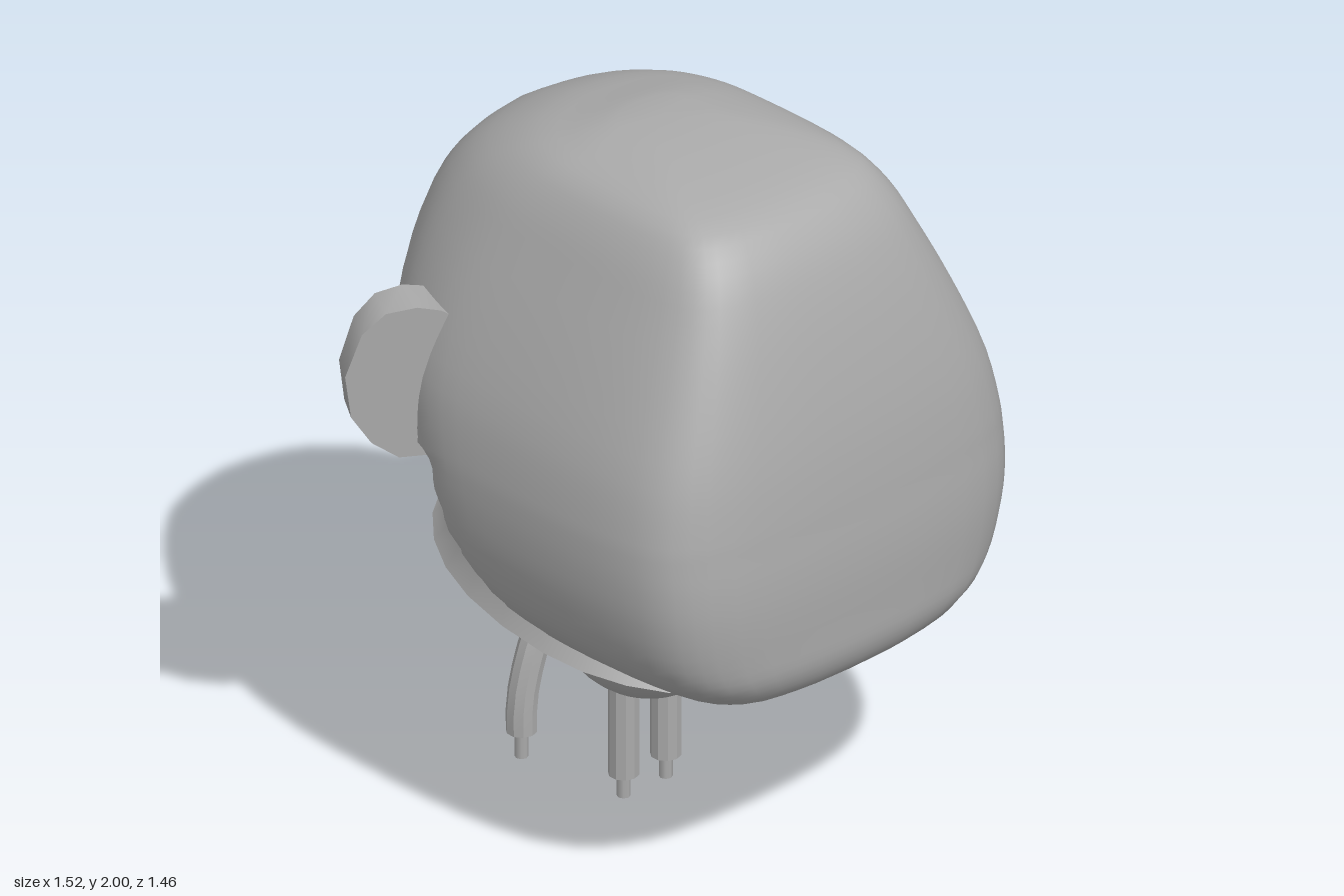
import * as THREE from 'three';
import { toCreasedNormals } from 'three/addons/utils/BufferGeometryUtils.js';

const V = (x, y, z) => new THREE.Vector3(x, y, z);

// Skin closed rings of points into a capped solid
function loft(rings, crease) {
  const n = rings[0].length, pos = [], idx = [];
  rings.forEach(r => r.forEach(p => pos.push(p.x, p.y, p.z)));
  for (let i = 0; i < rings.length - 1; i++) {
    for (let j = 0; j < n; j++) {
      const a = i * n + j, b = i * n + (j + 1) % n;
      idx.push(a, b, b + n, a, b + n, a + n);
    }
  }
  [0, rings.length - 1].forEach((ri, end) => {
    const c = V(0, 0, 0), ci = pos.length / 3;
    rings[ri].forEach(p => c.addScaledVector(p, 1 / n));
    pos.push(c.x, c.y, c.z);
    for (let j = 0; j < n; j++) {
      const a = ri * n + j, b = ri * n + (j + 1) % n;
      if (end) idx.push(ci, a, b); else idx.push(ci, b, a);
    }
  });
  const g = new THREE.BufferGeometry();
  g.setAttribute('position', new THREE.Float32BufferAttribute(pos, 3));
  g.setIndex(idx);
  return toCreasedNormals(g, crease);
}

// Head plan: half width and depth fraction, from front to back
const PLAN = [[0, 1], [0.42, 0.993], [0.78, 0.96], [0.94, 0.89], [1, 0.75], [1, 0.45], [0.97, 0.31],
  [0.88, 0.2], [0.76, 0.125], [0.53, 0.05], [0.24, 0.012], [0, 0]];

// Head levels: y, half width, front z, back z, jaw cut-off z
const HEAD = [
  [0.637, 0.32, 0.62, -0.6, 0.55], [0.655, 0.42, 0.66, -0.6, 0.42], [0.69, 0.48, 0.695, -0.6, 0.29],
  [0.75, 0.555, 0.72, -0.6, 0.1], [0.83, 0.61, 0.725, -0.6, -0.04], [0.96, 0.645, 0.73, -0.6, -0.18],
  [1.06, 0.655, 0.727, -0.62, -0.24], [1.14, 0.655, 0.72, -0.645, -0.26], [1.2, 0.65, 0.715, -0.67, -0.8],
  [1.35, 0.62, 0.695, -0.72, -0.8], [1.55, 0.54, 0.65, -0.72, -0.8], [1.74, 0.45, 0.59, -0.66, -0.8],
  [1.85, 0.395, 0.535, -0.56, -0.8], [1.93, 0.335, 0.455, -0.41, -0.8], [1.975, 0.24, 0.27, -0.24, -0.8],
  [1.998, 0.12, 0.06, -0.14, -0.8]];

function headGeometry() {
  const half = new THREE.CatmullRomCurve3(PLAN.map(p => V(p[0], p[1], 0))).getPoints(33);
  const a = new THREE.CatmullRomCurve3(HEAD.map(h => V(h[0], h[1], h[2]))).getPoints(45);
  const b = new THREE.CatmullRomCurve3(HEAD.map(h => V(h[0], h[3], h[4]))).getPoints(45);
  const rings = a.map((l, i) => {
    const point = (p, s) => V(s * p.x * l.y, l.x,
      Math.max(THREE.MathUtils.lerp(b[i].y, l.z, p.y), b[i].z));
    return [...half.map(p => point(p, 1)), ...half.slice(1, -1).reverse().map(p => point(p, -1))];
  });
  return loft(rings, 0.7);
}

// Neck levels: y at z = 0, half width, front z, back z, backward rise
const NECK = [[0.633, 0.495, 0.43, -0.67, 0.2045], [0.735, 0.465, 0.33, -0.59, 0.15],
  [0.88, 0.455, 0.25, -0.565, 0.1], [1.02, 0.47, 0.2, -0.595, 0.03],
  [1.16, 0.5, 0.18, -0.66, 0], [1.36, 0.48, 0.15, -0.68, 0]];

function neckGeometry() {
  const rings = NECK.map(([y, w, zf, zb, rise]) => {
    const ring = [];
    for (let j = 0; j < 28; j++) {
      const t = j / 28 * Math.PI * 2, c = Math.cos(t), s = Math.sin(t);
      const sq = v => Math.sign(v) * Math.abs(v) ** 0.92;
      const z = (zf + zb) / 2 - sq(s) * (zf - zb) / 2;
      ring.push(V(w * sq(c), y - z * rise, z));
    }
    return ring;
  });
  return loft(rings, 0.7);
}

// Ear: side outline (u outward, y) between a back and a front slanted plane
function earGeometry(outline, back, front, crease) {
  const ring = ([x0, z0, x1, z1]) => outline.map(([u, y]) => V(x0 + (x1 - x0) * u, y, z0 + (z1 - z0) * u));
  return loft([ring(back), ring(front)], crease);
}

export function createModel() {
  const group = new THREE.Group();
  const grey = new THREE.MeshStandardMaterial({ color: 0xaaaaaa });
  grey.name = 'plain grey';
  const add = (name, geometry, parent = group) => {
    const m = new THREE.Mesh(geometry, grey);
    m.name = name;
    parent.add(m);
    return m;
  };

  add('head', headGeometry());
  add('neckCollar', neckGeometry());

  // Blocky left ear and thin rounded right ear
  add('leftEar', earGeometry(
    [[0, 1.12], [0.9, 1.13], [1, 1.33], [0.9, 1.5], [0.55, 1.56], [0, 1.56]],
    [0.44, -0.56, 0.69, -0.485], [0.5, -0.21, 0.758, -0.385], 0.1));
  add('rightEar', earGeometry(
    [[0, 1.5], [0.2, 1.54], [0.4, 1.555], [0.66, 1.545], [0.86, 1.49], [1, 1.37], [0.95, 1.25],
      [0.78, 1.17], [0.55, 1.12], [0, 1.12]],
    [-0.44, -0.39, -0.71, -0.5], [-0.5, -0.25, -0.765, -0.42], 0.65));

  // Ball under the neck
  const ball = add('ball', new THREE.SphereGeometry(0.25, 32, 24));
  ball.scale.set(0.97, 1.06, 1.05);
  ball.position.set(0, 0.56, -0.1);

  // Cables: a sheath along a path and a thin plug below it
  const cable = (name, path, tipY) => {
    const g = new THREE.Group();
    g.name = name;
    group.add(g);
    const end = path[path.length - 1];
    const curve = new THREE.CatmullRomCurve3(path);
    add('sheath', toCreasedNormals(new THREE.TubeGeometry(curve, 6, 0.041, 10), 0.5), g);
    const cap = add('sheathEnd', new THREE.CircleGeometry(0.041, 10), g);
    cap.rotation.x = Math.PI / 2;
    cap.position.copy(end);
    const h = end.y - tipY + 0.02;
    const plug = add('plug', new THREE.CylinderGeometry(0.018, 0.018, h, 8), g);
    plug.position.set(end.x, tipY + h / 2, end.z);
  };
  for (const [side, x] of [['right', -0.415], ['left', 0.425]]) {
    const s = Math.sign(x);
    cable(side + 'OuterCable', [V(x - s * 0.085, 0.66, -0.12), V(x - s * 0.04, 0.56, -0.125),
      V(x - s * 0.01, 0.45, -0.13), V(x, 0.38, -0.13), V(x, 0.315, -0.13)], 0.24);
  }
  for (const [side, x] of [['right', -0.07], ['left', 0.08]]) {
    cable(side + 'InnerCable', [V(x, 0.5, -0.11), V(x, 0.3, -0.11), V(x, 0.065, -0.11)], 0);
  }
  return group;
}
